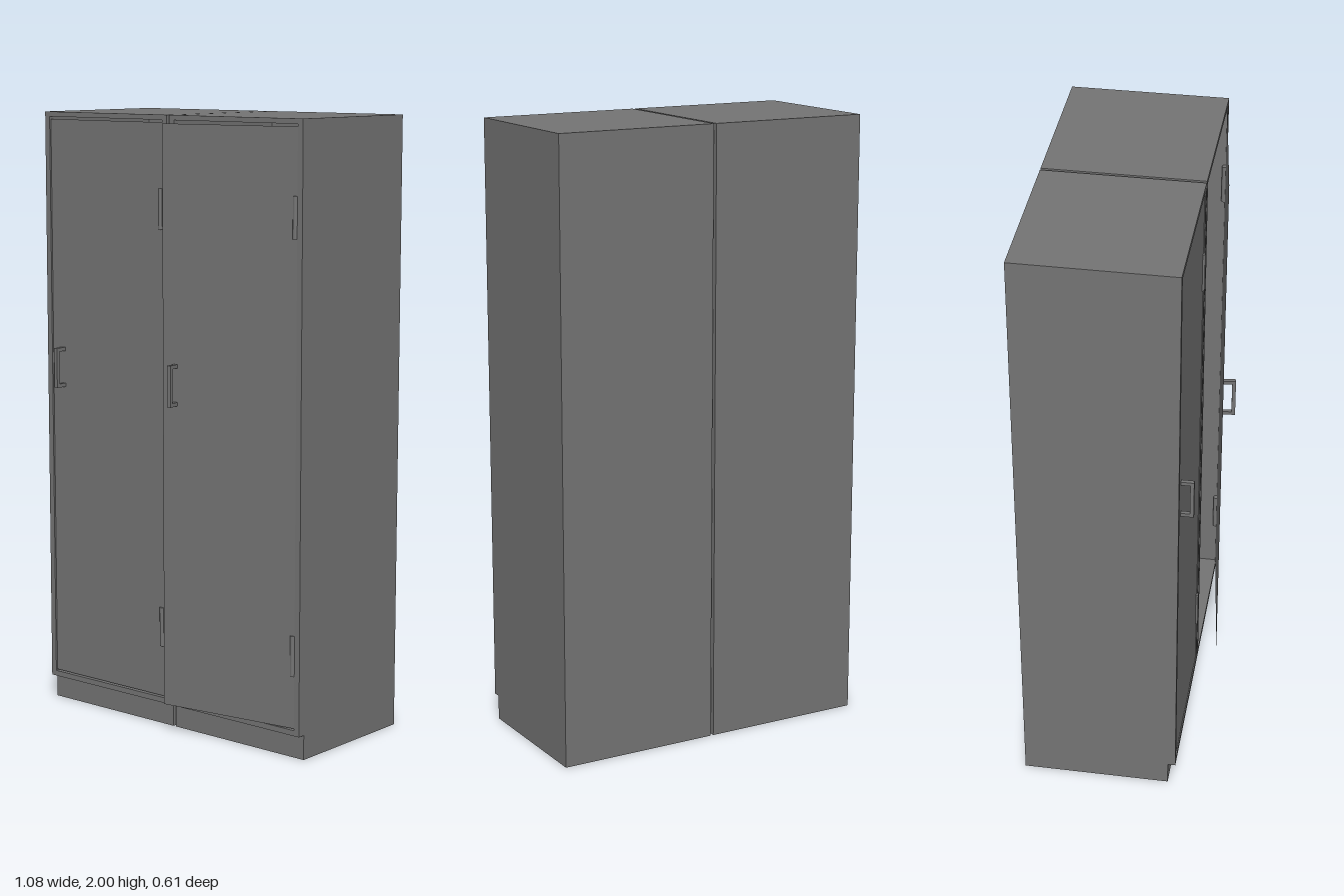
import * as THREE from 'three';

const steel = new THREE.MeshStandardMaterial({ color: 0x747474, side: THREE.DoubleSide });
steel.name = 'grey steel';

const W = 0.534, BACK = -0.303, FRONT = 0.207, BASE = 0.08, TOP = 2, WALL = 0.02;

// Box given by its lower and upper limits on each axis
function slab(parent, name, [x0, x1], [y0, y1], [z0, z1]) {
  const mesh = new THREE.Mesh(new THREE.BoxGeometry(x1 - x0, y1 - y0, z1 - z0), steel);
  mesh.position.set((x0 + x1) / 2, (y0 + y1) / 2, (z0 + z1) / 2);
  mesh.name = name;
  parent.add(mesh);
  return mesh;
}

// Thin sheet door hinged on its right-hand edge, with a square pull handle
function makeDoor(angle) {
  const door = new THREE.Group();
  door.name = 'door';
  const width = 0.491, y0 = 0.103, y1 = 1.976;
  const panel = new THREE.Mesh(new THREE.PlaneGeometry(width, y1 - y0), steel);
  panel.name = 'doorPanel';
  panel.position.set(-width / 2, (y0 + y1) / 2, 0);
  door.add(panel);

  const handle = new THREE.Group();
  handle.name = 'handle';
  const x = [-0.449, -0.436];
  slab(handle, 'handleGrip', x, [1.09, 1.223], [0.029, 0.041]);
  slab(handle, 'handleLowerPost', x, [1.09, 1.102], [0, 0.029]);
  slab(handle, 'handleUpperPost', x, [1.211, 1.223], [0, 0.029]);
  door.add(handle);

  door.position.set(W / 2 - WALL, 0, FRONT - 0.003);
  door.rotation.y = angle;
  return door;
}

function makeLocker(name, angle) {
  const locker = new THREE.Group();
  locker.name = name;
  const h = W / 2, full = [-h, h], inner = [-h + WALL, h - WALL];

  // Hollow cabinet on a recessed plinth
  slab(locker, 'plinth', full, [0, BASE], [BACK, 0.182]);
  slab(locker, 'floorPanel', full, [BASE, BASE + 0.018], [BACK, FRONT]);
  slab(locker, 'topPanel', full, [TOP - 0.016, TOP], [BACK, FRONT]);
  const rise = [BASE + 0.018, TOP - 0.016];
  slab(locker, 'leftWall', [h - WALL, h], rise, [BACK, FRONT]);
  slab(locker, 'rightWall', [-h, -h + WALL], rise, [BACK, FRONT]);
  slab(locker, 'backPanel', inner, rise, [BACK, BACK + WALL]);

  // Hinge barrels
  for (const y of [0.337, 1.703]) {
    const hinge = new THREE.Mesh(new THREE.CylinderGeometry(0.009, 0.009, 0.13, 12), steel);
    hinge.name = 'hinge';
    hinge.position.set(h - WALL - 0.01, y, FRONT - 0.005);
    locker.add(hinge);
  }

  locker.add(makeDoor(angle));
  return locker;
}

export function createModel() {
  const model = new THREE.Group();
  model.name = 'lockerPair';
  const closed = makeLocker('closedLocker', 0);
  const ajar = makeLocker('ajarLocker', THREE.MathUtils.degToRad(7.8));
  closed.position.x = -0.272;
  ajar.position.x = 0.272;
  model.add(closed, ajar);
  return model;
}
